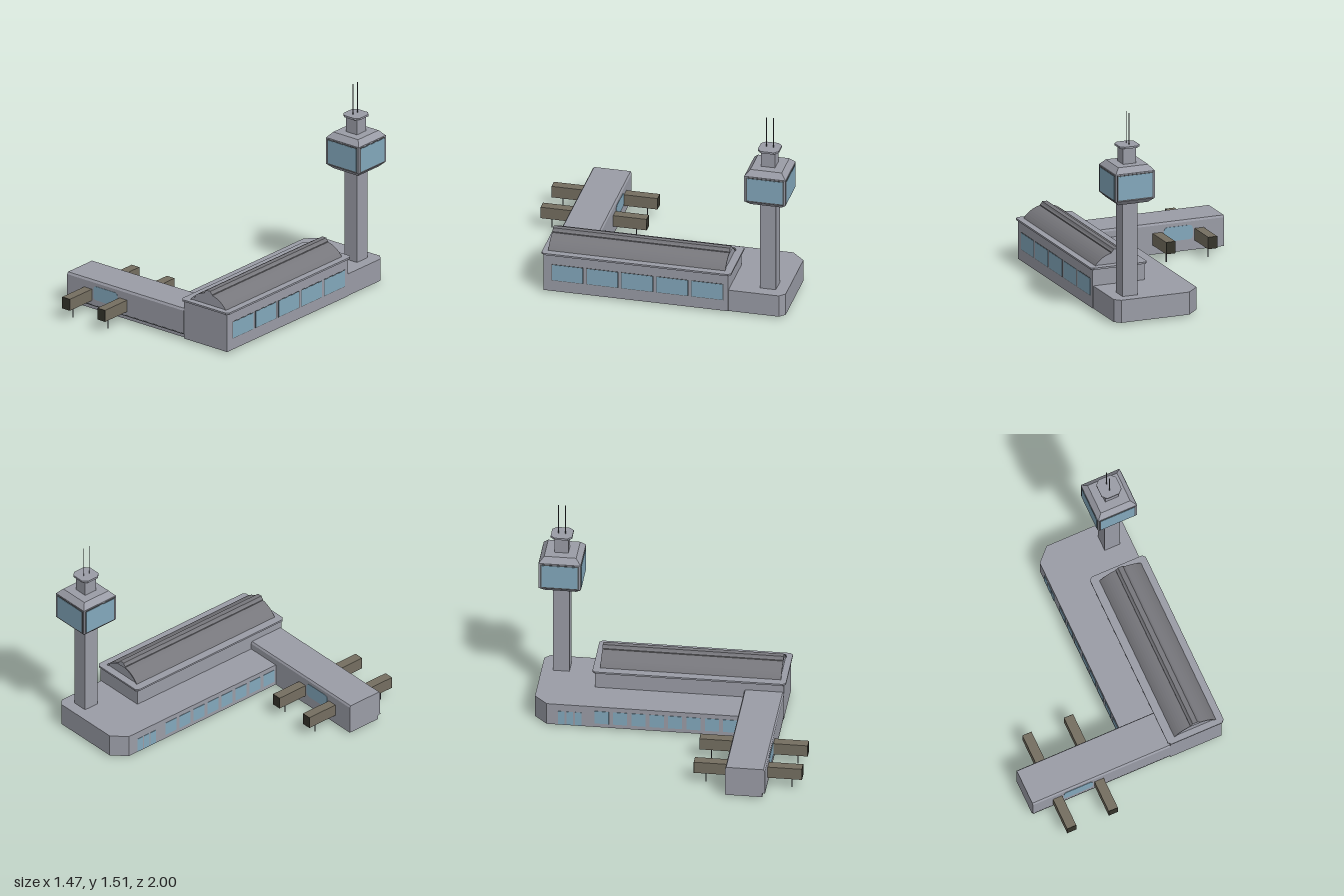
import * as THREE from 'three';

const mat = (name, color, extra = {}) => Object.assign(new THREE.MeshStandardMaterial({ color, ...extra }), { name });

export function createModel() {
  const wall = mat('concreteGrey', 0x9a9ca6);
  const roofMat = mat('roofGrey', 0x77777c);
  const glass = mat('glassBlue', 0x83a8bc);
  const dark = mat('frameGrey', 0x54585c);
  const brown = mat('bridgeBrown', 0x746e60);
  const black = mat('bridgeEndDark', 0x35342b);

  const root = new THREE.Group();
  root.name = 'airportTerminal';

  const add = (name, geo, m, x = 0, y = 0, z = 0, ry = 0, parent = root) => {
    const mesh = new THREE.Mesh(geo, m);
    mesh.name = name;
    mesh.position.set(x, y, z);
    mesh.rotation.y = ry;
    parent.add(mesh);
    return mesh;
  };
  // Box given by its limits
  const box = (name, m, x0, x1, y0, y1, z0, z1) =>
    add(name, new THREE.BoxGeometry(x1 - x0, y1 - y0, z1 - z0), m, (x0 + x1) / 2, (y0 + y1) / 2, (z0 + z1) / 2);
  const shapeOf = (pts) => new THREE.Shape(pts.map(([a, b]) => new THREE.Vector2(a, b)));
  const extrude = (shape, depth) => new THREE.ExtrudeGeometry(shape, { depth, bevelEnabled: false, curveSegments: 8 });
  // Upright prism from a plan outline of [x, z] points
  const slab = (name, m, pts, y0, y1) =>
    add(name, extrude(shapeOf(pts.map(([x, z]) => [x, -z])), y1 - y0).rotateX(-Math.PI / 2), m, 0, y0, 0);
  // Rectangle outline with cut corners
  const cutRect = (x0, x1, z0, z1, c) => [
    [x0 + c, z0], [x1 - c, z0], [x1, z0 + c], [x1, z1 - c],
    [x1 - c, z1], [x0 + c, z1], [x0, z1 - c], [x0, z0 + c]];

  // Low wing with cut back corners
  slab('lowWing', wall, [[0.15, -0.985], [0.67, -0.985], [0.71, -0.945], [0.71, 0.5],
    [0.055, 0.5], [0.055, -0.89]], 0.015, 0.18);
  for (let i = 0; i < 8; i++) {
    box('wingWindow', glass, 0.052, 0.057, 0.045, 0.145, -0.55 + i * 0.13, -0.55 + i * 0.13 + 0.1);
  }
  for (let i = 0; i < 3; i++) {
    box('entranceDoor', glass, 0.052, 0.057, 0.018, 0.125, -0.81 + i * 0.06, -0.81 + i * 0.06 + 0.048);
  }

  // Main hall, its eaves and side windows
  box('mainHall', wall, 0.32, 0.715, 0.015, 0.302, -0.58, 0.755);
  slab('hallEaves', wall, cutRect(0.302, 0.732, -0.6, 0.77, 0.02), 0.302, 0.315);
  for (let i = 0; i < 5; i++) {
    const z = 0.583 - i * 0.253;
    box('hallWindowFrame', dark, 0.712, 0.7165, 0.098, 0.227, z - 0.116, z + 0.116);
    box('hallWindow', glass, 0.712, 0.718, 0.102, 0.223, z - 0.112, z + 0.112);
  }

  // Barrel vault: outer shell, recessed end walls and raised ridge
  const arcPts = (half, rise, n = 20) => {
    const r = (half * half + rise * rise) / (2 * rise);
    const a = Math.asin(half / r);
    return Array.from({ length: n + 1 }, (_, i) => {
      const t = a - (2 * a * i) / n;
      return [Math.sin(t) * r, Math.cos(t) * r - r + rise];
    });
  };
  const vaultX = 0.522, vaultY = 0.315;
  const outer = arcPts(0.16, 0.083), inner = arcPts(0.148, 0.073);
  add('vaultRoof', extrude(shapeOf([...outer, ...inner.slice().reverse()]), 1.28),
    [wall, roofMat], vaultX, vaultY, -0.55);
  add('vaultEnds', extrude(shapeOf(inner), 1.268), wall, vaultX, vaultY, -0.544);
  add('vaultRidge', extrude(shapeOf([[-0.038, 0.07], [0.038, 0.07], [0.036, 0.086], [0.026, 0.094],
    [0.018, 0.107], [-0.018, 0.107], [-0.026, 0.094], [-0.036, 0.086]]), 1.28),
  [wall, roofMat], vaultX, vaultY, -0.55);

  // Gate pier: a cross-section in z and y swept along x
  const section = [[0.475, 0.015], [0.738, 0.015], [0.738, 0.045], [0.757, 0.053], [0.757, 0.225],
    [0.747, 0.24], [0.483, 0.24], [0.475, 0.225]];
  add('gatePier', extrude(shapeOf(section.map(([z, y]) => [-z, y]).reverse()), 1.06)
    .rotateY(Math.PI / 2), wall, -0.74, 0, 0);
  box('pierGroove', dark, -0.739, 0.32, 0.047, 0.054, 0.72, 0.758);

  // Rounded pier windows on both long sides
  const w = 0.11, h = 0.052, r = 0.03;
  const rounded = new THREE.Shape();
  rounded.moveTo(-w + r, -h);
  rounded.lineTo(w - r, -h).quadraticCurveTo(w, -h, w, -h + r);
  rounded.lineTo(w, h - r).quadraticCurveTo(w, h, w - r, h);
  rounded.lineTo(-w + r, h).quadraticCurveTo(-w, h, -w, h - r);
  rounded.lineTo(-w, -h + r).quadraticCurveTo(-w, -h, -w + r, -h);
  const paneGeo = extrude(rounded, 0.006);
  add('pierWindowFront', paneGeo, glass, -0.39, 0.148, 0.754);
  add('pierWindowBack', paneGeo, glass, -0.39, 0.148, 0.478, Math.PI);

  // Boarding bridges on both sides of the pier
  for (const x of [-0.55, -0.23]) {
    for (const [z0, z1, legZ, endZ] of [[0.75, 0.998, 0.925, 0.998], [0.235, 0.48, 0.315, 0.235]]) {
      box('boardingBridge', brown, x - 0.035, x + 0.035, 0.083, 0.17, z0, z1);
      box('bridgeEnd', black, x - 0.035, x + 0.035, 0.083, 0.17, endZ - 0.002, endZ + 0.002);
      add('bridgeLeg', new THREE.CylinderGeometry(0.004, 0.004, 0.09, 8), dark, x, 0.045, legZ);
    }
  }

  // Control tower
  const tower = new THREE.Group();
  tower.name = 'controlTower';
  tower.position.set(0.567, 0, -0.845);
  root.add(tower);
  // Square frustum from half widths
  const frustum = (name, top, bottom, y0, y1) => add(name,
    new THREE.CylinderGeometry(top * Math.SQRT2, bottom * Math.SQRT2, y1 - y0, 4).rotateY(Math.PI / 4).toNonIndexed(),
    wall, 0, (y0 + y1) / 2, 0, 0, tower).geometry.computeVertexNormals();
  frustum('towerShaft', 0.058, 0.058, 0.17, 0.88);
  frustum('cabFloor', 0.149, 0.113, 0.87, 0.905);
  frustum('cabBody', 0.149, 0.149, 0.905, 1.105);
  frustum('cabRoof', 0.113, 0.149, 1.105, 1.145);
  frustum('towerNeck', 0.05, 0.05, 1.14, 1.27);
  for (let i = 0; i < 4; i++) {
    const side = new THREE.Group();
    side.name = 'cabWindowSide';
    side.rotation.y = (i * Math.PI) / 2;
    tower.add(side);
    add('cabWindowFrame', new THREE.BoxGeometry(0.276, 0.188, 0.004), dark, 0, 1.003, 0.149, 0, side);
    add('cabWindow', new THREE.BoxGeometry(0.258, 0.174, 0.008), glass, 0, 1.003, 0.149, 0, side);
  }
  const cap = slab('towerCap', wall, cutRect(-0.076, 0.076, -0.076, 0.076, 0.03), 1.263, 1.277);
  tower.add(cap);
  for (const z of [-0.025, 0.025]) {
    add('antenna', new THREE.CylinderGeometry(0.003, 0.003, 0.235, 6), dark, -0.006, 1.39, z, 0, tower);
  }

  return root;
}
